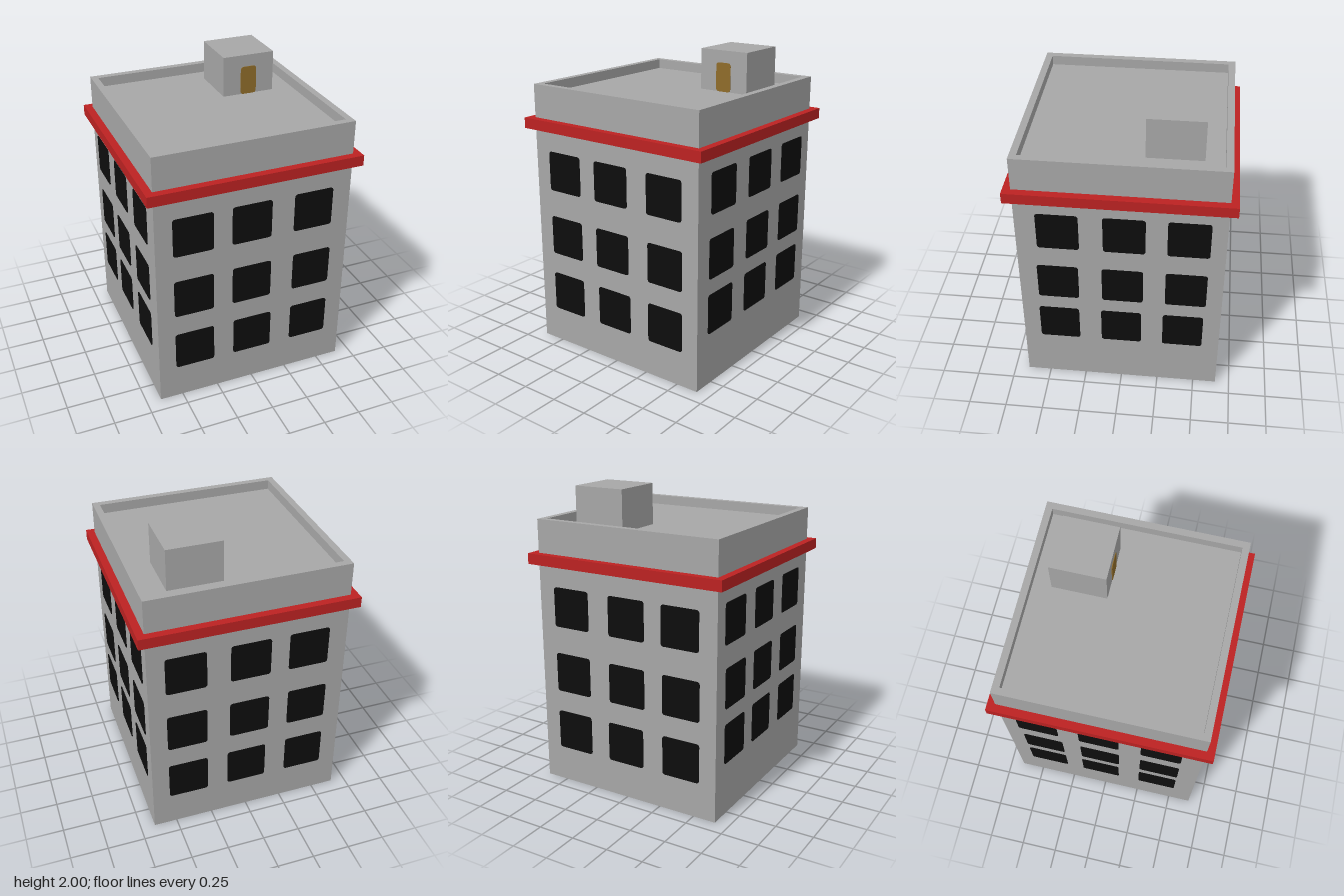
import * as THREE from 'three';

const WALL = 0.655, TOP = 1.795, ROOF = 1.73, PLATE = 0.004;

// Rectangle outline with its corners optionally rounded, centred on (0, 0)
function rect(w, h, r, Type = THREE.Shape) {
  const s = new Type(), x = w / 2, y = h / 2;
  if (!r) {
    return s.moveTo(-x, -y).lineTo(x, -y).lineTo(x, y).lineTo(-x, y).closePath() && s;
  }
  s.absarc(x - r, -y + r, r, -Math.PI / 2, 0);
  s.absarc(x - r, y - r, r, 0, Math.PI / 2);
  s.absarc(-x + r, y - r, r, Math.PI / 2, Math.PI);
  s.absarc(-x + r, -y + r, r, Math.PI, Math.PI * 1.5);
  s.closePath();
  return s;
}

// Thin upright plate with softly rounded corners, facing +z
function plate(w, h, r) {
  return new THREE.ExtrudeGeometry(rect(w, h, r), { depth: PLATE, bevelEnabled: false, curveSegments: 3 });
}

// Square ring lying flat between two heights
function ring(outer, inner, y0, y1) {
  const s = rect(outer * 2, outer * 2, 0);
  s.holes.push(rect(inner * 2, inner * 2, 0, THREE.Path));
  const g = new THREE.ExtrudeGeometry(s, { depth: y1 - y0, bevelEnabled: false });
  return g.rotateX(-Math.PI / 2).translate(0, y0, 0);
}

export function createModel() {
  const group = new THREE.Group();
  const material = (name, color) => {
    const m = new THREE.MeshStandardMaterial({ color });
    m.name = name;
    return m;
  };
  const concrete = material('concrete grey', 0xa7a7a7);
  const red = material('cornice red', 0xbc2222);
  const black = material('window black', 0x0d0d0d);
  const brown = material('door brown', 0x8f6c2a);

  const add = (name, geometry, mat, parent = group) => {
    const mesh = new THREE.Mesh(geometry, mat);
    mesh.name = name;
    parent.add(mesh);
    return mesh;
  };

  // Main block, parapet around the sunken roof, and cornice band
  add('walls', new THREE.BoxGeometry(WALL * 2, ROOF, WALL * 2).translate(0, ROOF / 2, 0), concrete);
  add('parapet', ring(WALL, 0.61, ROOF, TOP), concrete);
  add('cornice', ring(0.705, WALL - 0.005, 1.505, 1.575), red);

  // Stair hut on the roof with its door
  add('roofHut', new THREE.BoxGeometry(0.355, 2 - ROOF, 0.355), concrete)
    .position.set(0.29, (2 + ROOF) / 2, -0.3125);
  add('roofDoor', plate(0.11, 0.19, 0.02), brown).position.set(0.29, 1.825, -0.135);

  // Windows: each side lists its rows as height followed by three offsets
  const frontRows = [1.23, 0.782, 0.372], sideRows = [1.268, 0.852, 0.484];
  const sides = [
    { name: 'front', turn: 0, heights: frontRows,
      offsets: [[-0.408, -0.02, 0.4], [-0.408, -0.015, 0.407], [-0.408, -0.005, 0.407]] },
    { name: 'left', turn: Math.PI / 2, heights: sideRows,
      offsets: [[-0.39, 0.025, 0.425], [-0.404, 0.012, 0.42], [-0.41, 0.002, 0.41]] },
    { name: 'back', turn: Math.PI, heights: frontRows,
      offsets: [[-0.408, 0.012, 0.4], [-0.408, 0.01, 0.407], [-0.408, -0.003, 0.407]] },
    { name: 'right', turn: -Math.PI / 2, heights: sideRows,
      offsets: [[-0.425, -0.02, 0.39], [-0.41, -0.02, 0.39], [-0.41, -0.025, 0.388]] },
  ];
  const pane = plate(0.265, 0.265, 0.018);
  for (const side of sides) {
    const wall = new THREE.Group();
    wall.name = side.name + 'Windows';
    wall.rotation.y = side.turn;
    side.heights.forEach((y, row) => side.offsets[row].forEach((x) => {
      add('window', pane, black, wall).position.set(x, y, WALL);
    }));
    group.add(wall);
  }
  return group;
}
